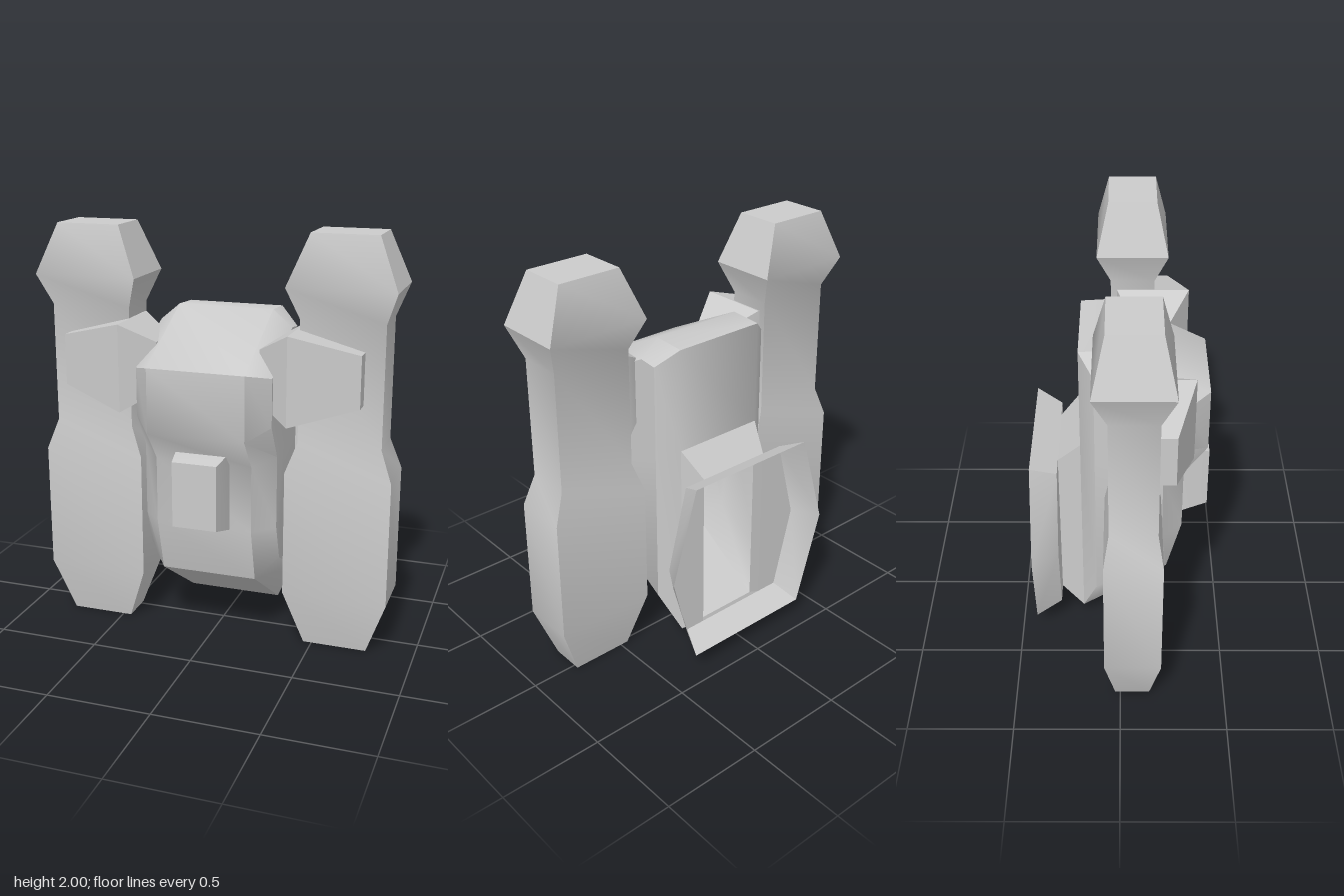
import * as THREE from 'three';
import { toCreasedNormals } from 'three/addons/utils/BufferGeometryUtils.js';

const solid = new THREE.MeshStandardMaterial({ color: 0xcccccc });
const shell = new THREE.MeshStandardMaterial({ color: 0xcccccc, side: THREE.DoubleSide });

// Joins equal-length loops of [x, y, z] points; skip(i, j) leaves a panel open.
function loft(loops, { caps = true, skip = () => false } = {}) {
  const n = loops[0].length;
  const tris = [];
  for (let i = 0; i < loops.length - 1; i++) {
    for (let j = 0; j < n; j++) {
      if (skip(i, j)) continue;
      const k = (j + 1) % n;
      const [a, b, c, d] = [loops[i][j], loops[i][k], loops[i + 1][k], loops[i + 1][j]];
      tris.push([a, b, c], [a, c, d]);
    }
  }
  const cap = (loop, flip) => {
    const mid = [0, 1, 2].map((q) => loop.reduce((s, p) => s + p[q], 0) / n);
    loop.forEach((p, j) => {
      const next = loop[(j + 1) % n];
      tris.push(flip ? [mid, next, p] : [mid, p, next]);
    });
  };
  if (caps) {
    cap(loops[0], true);
    cap(loops[loops.length - 1], false);
  }
  // Turn all faces outwards, judged by the enclosed volume
  const v = (p) => new THREE.Vector3(...p);
  const volume = tris.reduce((s, [a, b, c]) => s + v(a).dot(v(b).cross(v(c))), 0);
  const points = tris.flatMap(([a, b, c]) => (volume < 0 ? [a, c, b] : [a, b, c]));
  const geo = new THREE.BufferGeometry();
  geo.setAttribute('position', new THREE.Float32BufferAttribute(points.flat(), 3));
  return toCreasedNormals(geo, THREE.MathUtils.degToRad(40));
}

const rectXZ = (y, x0, x1, z0, z1) => [[x0, y, z0], [x1, y, z0], [x1, y, z1], [x0, y, z1]];
const rectXY = (z, w, y0, y1) => [[-w, y0, z], [w, y0, z], [w, y1, z], [-w, y1, z]];
const rectYZ = (x, y0, y1, z0, z1) => [[x, y0, z0], [x, y1, z0], [x, y1, z1], [x, y0, z1]];

export function createModel() {
  const model = new THREE.Group();
  const add = (name, geometry, material = solid) => {
    const mesh = new THREE.Mesh(geometry, material);
    mesh.name = name;
    model.add(mesh);
  };

  // Hull: [z, y] outlines of the centre band and of the inset flanks
  const band = [
    [-0.19, 1.09], [-0.19, 1.6], [-0.03, 1.61], [0.41, 1.39], [0.41, 1.08],
    [0.3, 0.93], [0.3, 0.61], [0.23, 0.34], [-0.19, 0.065],
  ];
  const flank = [
    [-0.12, 1.06], [-0.12, 1.52], [-0.03, 1.53], [0.3, 1.36], [0.3, 1.13],
    [0.2, 0.96], [0.2, 0.61], [0.14, 0.43], [-0.12, 0.28],
  ];
  const at = (outline, x) => outline.map(([z, y]) => [x, y, z]);
  add('hull', loft(
    [at(flank, -0.33), at(band, -0.235), at(band, 0.235), at(flank, 0.33)],
    { skip: (i, j) => i === 1 && j === band.length - 1 }, // open at the lower back
  ), shell);

  // Neck narrowing from the hull opening to the exhaust
  add('exhaustNeck', loft(
    [rectXY(-0.19, 0.235, 0.065, 1.09), rectXY(-0.3, 0.19, 0.155, 0.97)], { caps: false },
  ), shell);

  // Flared six-sided exhaust rim, open at the back
  const hexagon = (z, w, wMid, y0, y1) => [
    [-w, y0, z], [w, y0, z], [wMid, 0.56, z], [w, y1, z], [-w, y1, z], [-wMid, 0.56, z],
  ];
  add('exhaustRim', loft(
    [hexagon(-0.3, 0.3, 0.405, 0.155, 0.97), hexagon(-0.425, 0.345, 0.485, 0.095, 1.03)],
    { caps: false },
  ), shell);

  // Raised block on the front of the hull
  add('frontBlock', loft([
    rectXY(0.2, 0.13, 0.61, 0.99), rectXY(0.3, 0.13, 0.61, 0.99), rectXY(0.43, 0.108, 0.645, 0.962),
  ]));

  // [y, half width, back z, front z] of an engine pod
  const podSections = [
    [0, 0.155, -0.025, 0.14], [0.27, 0.252, -0.075, 0.19], [0.88, 0.252, -0.075, 0.19],
    [1.03, 0.197, -0.05, 0.165], [1.61, 0.197, -0.05, 0.165],
    [1.76, 0.252, -0.117, 0.228], [2, 0.155, -0.06, 0.172],
  ];

  for (const [side, s] of [['left', 1], ['right', -1]]) {
    add(side + 'Pod', loft(podSections.map(([y, w, z0, z1]) =>
      rectXZ(y, s * 0.614 - w, s * 0.614 + w, z0, z1))));

    // Arm wrapping from the hull around the front of the pod
    add(side + 'Arm', loft([
      rectYZ(s * 0.25, 1.235, 1.475, 0.06, 0.24),
      rectYZ(s * 0.405, 1.145, 1.565, -0.02, 0.333),
      rectYZ(s * 0.72, 1.235, 1.48, 0.05, 0.24),
    ]));

    // Flat plate between the neck and the rim
    const plate = new THREE.Shape([[0.19, 0.155], [0.3, 0.155], [0.405, 0.56], [0.3, 0.97], [0.19, 0.97]]
      .map(([x, y]) => new THREE.Vector2(s * x, y)));
    add(side + 'ExhaustPlate', new THREE.ShapeGeometry(plate).translate(0, 0, -0.3), shell);
  }
  return model;
}
